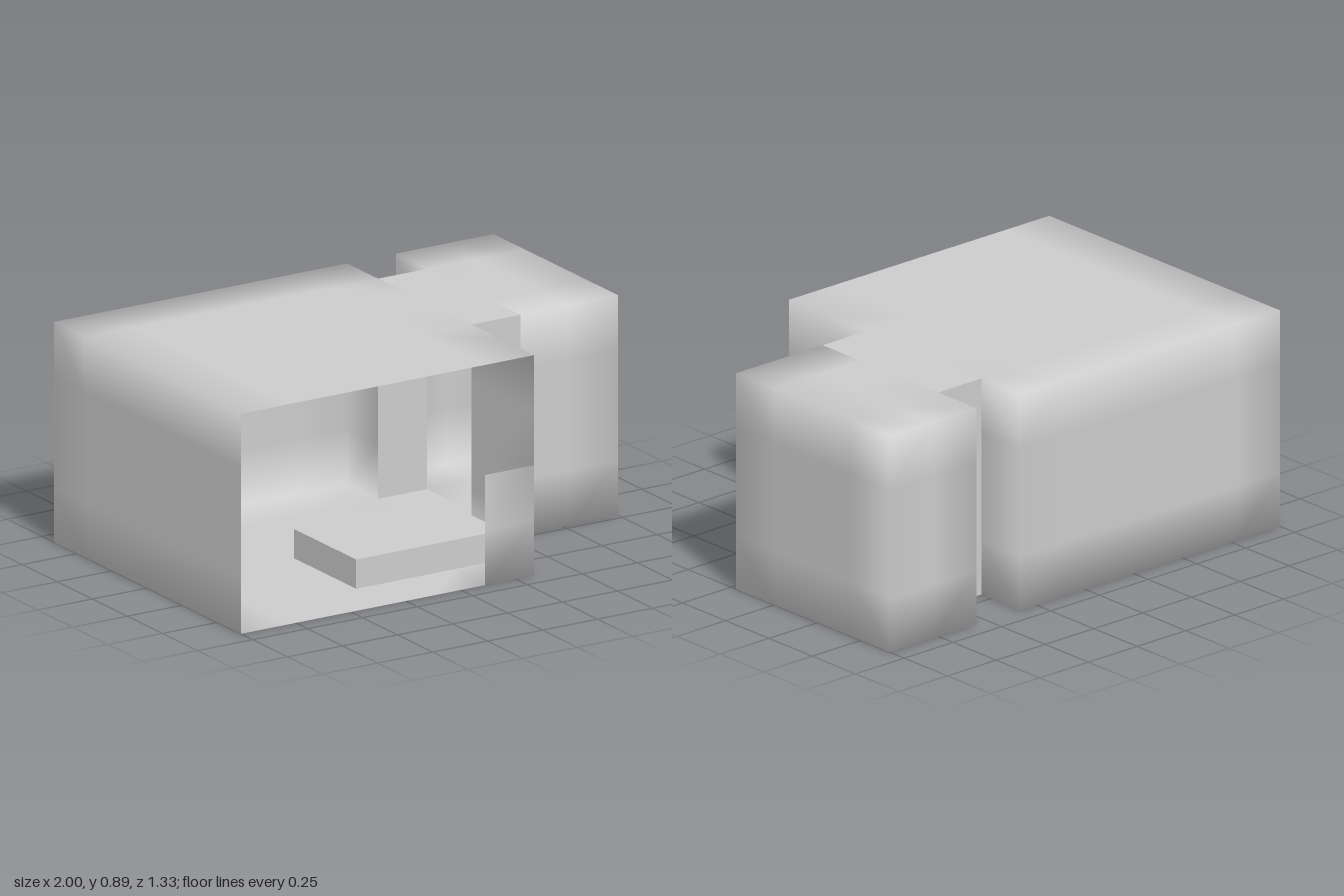
import * as THREE from 'three';
import { mergeVertices } from 'three/addons/utils/BufferGeometryUtils.js';

const U = 2 / 9; // building module
const X0 = -1, Z0 = -3 * U;

const material = new THREE.MeshStandardMaterial({ color: 0xcccccc });
const thin = new THREE.MeshStandardMaterial({ color: 0xcccccc, side: THREE.DoubleSide });

// Which cells of the 9 x 4 x 6 module grid are room space
function inside(x, y, z) {
  if (y < 0 || y > 3 || x < 0 || x > 8 || z < 0) return false;
  if (x <= 5) return z <= 5;                // main room
  if (x === 6) return z >= 1 && z <= 3;     // passage
  return z <= 3;                            // side room
}

// Thin skin around the cells; the front of the main room stays open except a low wall
function shell(name, accept, smooth) {
  const positions = [];
  for (let x = 0; x < 9; x++) for (let y = 0; y < 4; y++) for (let z = 0; z < 6; z++) {
    if (!accept(x) || !inside(x, y, z)) continue;
    for (let a = 0; a < 3; a++) for (const s of [-1, 1]) {
      const next = [x, y, z];
      next[a] += s;
      if (inside(...next)) continue;
      const openFront = a === 2 && s === 1 && z === 5;
      if (openFront && !(x === 5 && y < 2)) continue;
      const corners = [[0, 0], [1, 0], [1, 1], [0, 1]].map(([p, q]) => {
        const v = [x, y, z];
        v[a] += s > 0 ? 1 : 0;
        v[(a + 1) % 3] += p;
        v[(a + 2) % 3] += q;
        return [X0 + v[0] * U, v[1] * U, Z0 + v[2] * U];
      });
      if (s < 0) corners.reverse();
      for (const i of [0, 1, 2, 0, 2, 3]) positions.push(...corners[i]);
    }
  }
  let geometry = new THREE.BufferGeometry();
  geometry.setAttribute('position', new THREE.Float32BufferAttribute(positions, 3));
  if (smooth) geometry = mergeVertices(geometry, 1e-4);
  geometry.computeVertexNormals();
  const mesh = new THREE.Mesh(geometry, thin);
  mesh.name = name;
  return mesh;
}

// Box given by its two extremes on each axis
function box(name, [x1, x2], [y1, y2], [z1, z2]) {
  const mesh = new THREE.Mesh(new THREE.BoxGeometry(x2 - x1, y2 - y1, z2 - z1), material);
  mesh.position.set((x1 + x2) / 2, (y1 + y2) / 2, (z1 + z2) / 2);
  mesh.name = name;
  return mesh;
}

function named(name, ...parts) {
  const group = new THREE.Group();
  group.name = name;
  group.add(...parts);
  return group;
}

// Rod lying along x
function rod(name, radius, x1, x2, y, z) {
  const mesh = new THREE.Mesh(new THREE.CylinderGeometry(radius, radius, x2 - x1, 16), material);
  mesh.rotation.z = Math.PI / 2;
  mesh.position.set((x1 + x2) / 2, y, z);
  mesh.name = name;
  return mesh;
}

export function createModel() {
  const model = new THREE.Group();

  // Walls, floor and ceiling
  model.add(shell('roomShell', x => x !== 6, true), shell('passage', x => x === 6, false));

  // Desk along the side wall, with a board above it
  const deskX = [-0.998, -0.78];
  model.add(named('desk',
    box('deskTop', deskX, [0.12, 0.222], [-0.45, 0]),
    box('frontLeg', deskX, [0.002, 0.12], [-0.11, 0]),
    box('backLeg', deskX, [0.002, 0.12], [-0.45, -0.34])));
  model.add(box('wallBoard', [-0.998, -0.988], [0.222, 0.667], [-0.45, 0]));

  // Potted plant: a square pot and two crossed leaf panels
  const plant = named('plant', box('pot', [-0.93, -0.85], [0.222, 0.302], [-0.15, -0.07]));
  for (const turn of [1, -1]) {
    const leaf = new THREE.Mesh(new THREE.PlaneGeometry(0.212, 0.16), thin);
    leaf.position.set(-0.892, 0.364, -0.108);
    leaf.rotation.y = turn * Math.PI / 4;
    leaf.name = 'leafPanel';
    plant.add(leaf);
  }
  model.add(plant);

  // Low bed behind the front wall
  model.add(box('bed', [-0.333, 0.331], [0.002, 0.12], [0, 0.444]));

  // Hanging rail between two brackets under the ceiling
  const rail = named('hangingRail', rod('rod', 0.014, -0.562, -0.11, 0.78, -0.555));
  for (const [x, flangeX] of [[-0.6, -0.562], [-0.113, -0.126]]) {
    rail.add(box('bracket', [x, x + 0.038], [0.667, 0.887], [-0.665, -0.445]));
    rail.add(rod('flange', 0.025, flangeX, flangeX + 0.013, 0.78, -0.555));
  }
  model.add(rail);

  return model;
}
